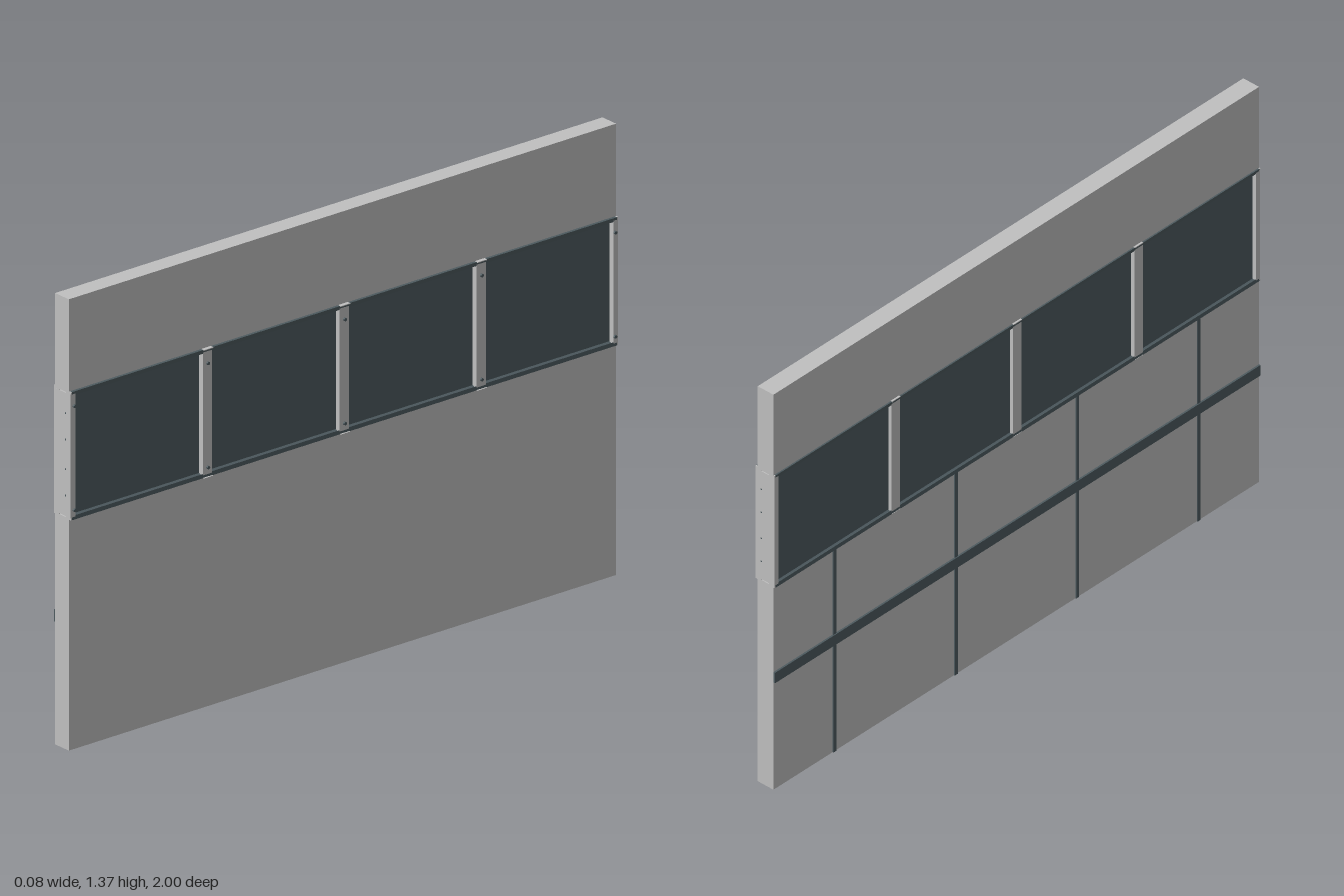
import * as THREE from 'three';

export function createModel() {
  const root = new THREE.Group();
  root.name = 'wallPanel';
  const concrete = new THREE.MeshStandardMaterial({ color: 0xc0c0c0 });
  concrete.name = 'light grey';
  const slate = new THREE.MeshStandardMaterial({ color: 0x4d5a5f });
  slate.name = 'dark slate';

  const add = (name, geo, mat, x = 0, y = 0, z = 0) => {
    const m = new THREE.Mesh(geo, mat);
    m.name = name;
    m.position.set(x, y, z);
    root.add(m);
    return m;
  };
  // box given by its limits
  const box = (name, mat, x0, x1, y0, y1, z0, z1) =>
    add(name, new THREE.BoxGeometry(x1 - x0, y1 - y0, z1 - z0), mat,
      (x0 + x1) / 2, (y0 + y1) / 2, (z0 + z1) / 2);

  const wx0 = -0.034, wx1 = 0.026, mid = -0.003;
  const bottom = 0.705, top = 1.085;

  // solid wall below and above the window strip
  box('lowerWall', concrete, wx0, wx1, 0, bottom, -1, 1);
  box('upperWall', concrete, wx0, wx1, top, 1.37, -1, 1);

  // recessed glazing, dark on both faces
  box('glazing', slate, mid - 0.022, mid + 0.02, bottom, top, -0.985, 0.985);

  // posts through the glazing, half width ones at the ends
  for (let i = -2; i <= 2; i++) {
    const z = i * 0.5;
    box('post', concrete, -0.038, 0.034, bottom + 0.003, top - 0.003,
      Math.max(z - 0.017, -1), Math.min(z + 0.017, 1));
  }

  // sloped rails along the window edges, with light end plates
  const profile = (s, v) => {
    const p = [[0.015, 0], [0.037, 0], [0.0355, 0.012], [0.028, 0.007], [0.015, 0.012]];
    return new THREE.Shape(p.map(([x, y]) => new THREE.Vector2(s * x, v * y)));
  };
  for (const s of [-1, 1]) {
    for (const [v, y] of [[1, 0.701], [-1, 1.09]]) {
      const shape = profile(s, v);
      const rail = new THREE.ExtrudeGeometry(shape, { depth: 1.992, bevelEnabled: false });
      add('windowRail', rail, slate, -0.002, y, -0.996);
      for (const z of [-1, 0.996]) {
        const cap = new THREE.ExtrudeGeometry(shape, { depth: 0.004, bevelEnabled: false });
        add('railEnd', cap, concrete, -0.002, y, z);
      }
      // post clips over the rails
      for (const z of [-0.5, 0, 0.5])
        box('postClip', concrete, s * 0.034 - 0.006, s * 0.034 + 0.006,
          y - (v > 0 ? 0 : 0.001), y + (v > 0 ? 0.001 : 0.0015), z - 0.017, z + 0.017);
    }
  }

  // screws on the posts
  const screw = new THREE.CylinderGeometry(0.005, 0.005, 0.006, 10);
  for (const z of [-0.988, -0.5, 0, 0.5, 0.988])
    for (const y of [0.73, 1.046])
      add('postScrew', screw, slate, 0.037, y, z).rotation.z = Math.PI / 2;

  // small fixing holes on the end faces
  const dot = new THREE.CircleGeometry(0.003, 10);
  for (const s of [-1, 1])
    for (const y of [0.77, 0.85, 0.94, 1.02])
      add('endFixing', dot, slate, 0.012, y, s * 1.0005).rotation.y = s > 0 ? 0 : Math.PI;

  // joint strips and horizontal band on the -x face
  for (const z of [-0.75, -0.25, 0.25, 0.75])
    box('jointStrip', slate, -0.037, wx0, 0, bottom - 0.004, z - 0.006, z + 0.006);
  box('horizontalBand', slate, -0.04, wx0, 0.372, 0.408, -1, 1);

  return root;
}
